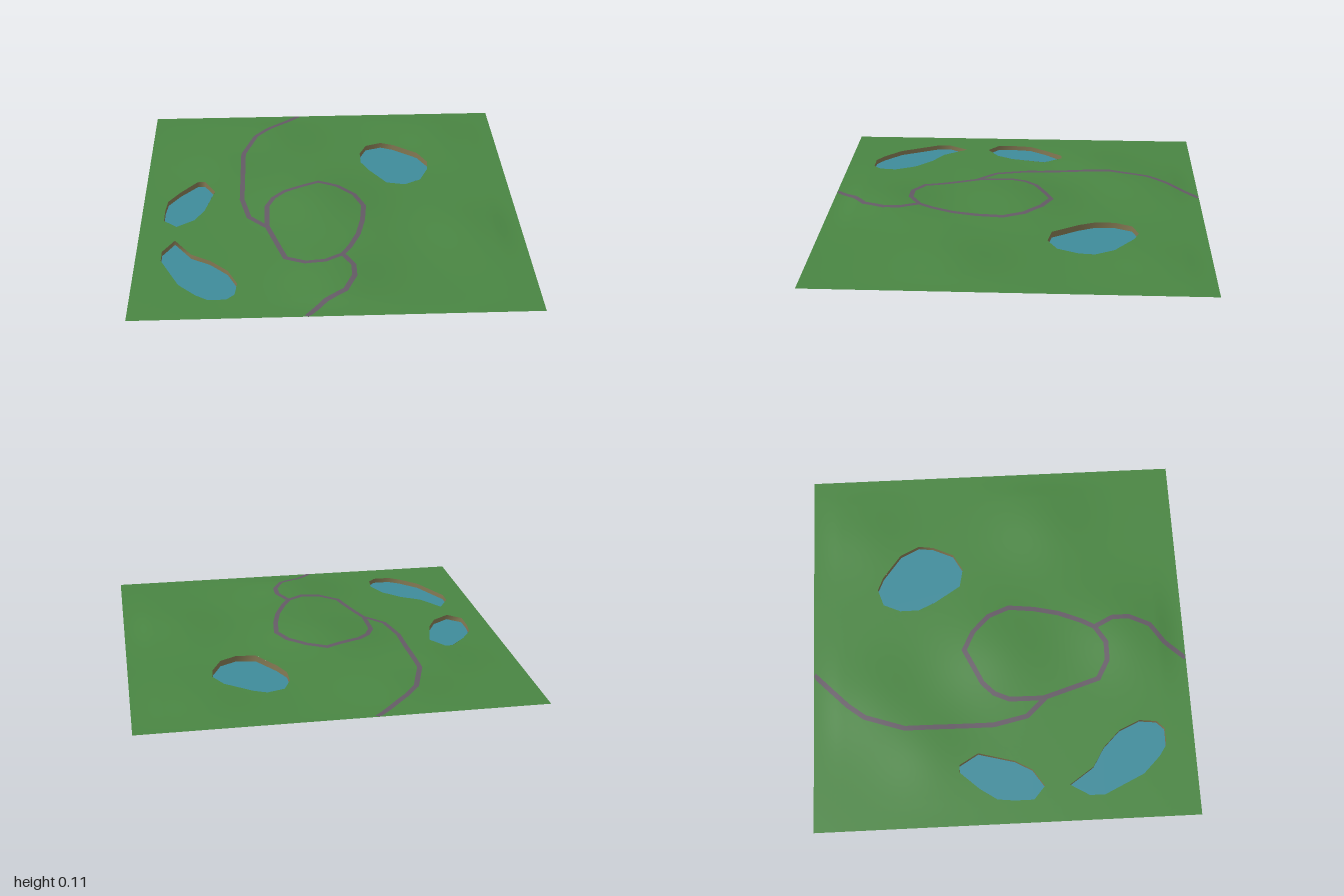
import * as THREE from 'three';

const BASE = 0.073;
const mat = (name, color, side = THREE.DoubleSide) => {
  const m = new THREE.MeshStandardMaterial({ color, side });
  m.name = name;
  return m;
};

// Gentle hills: x, z, height, radius
const HILLS = [
  [-0.05, 0, 0.034, 0.2], [0, 0.7, 0.028, 0.17], [-0.3, -0.68, 0.02, 0.17],
  [-0.58, -0.42, 0.017, 0.15], [0.7, 0.28, 0.021, 0.17], [0.2, 0.42, 0.012, 0.18], [0.65, -0.72, 0.012, 0.15],
];
const fade = (v) => THREE.MathUtils.smoothstep(1 - Math.abs(v), 0, 0.15);
const height = (x, z) => BASE + fade(x) * fade(z) * HILLS.reduce((sum, [hx, hz, h, r]) =>
  sum + h * Math.exp(-((x - hx) ** 2 + (z - hz) ** 2) / (2 * r * r)), 0);
const slopeNormal = (x, z, e = 0.005) => new THREE.Vector3(
  height(x - e, z) - height(x + e, z), 2 * e, height(x, z - e) - height(x, z + e)).normalize();

// Pond outlines in x, z
const PONDS = [
  { bottom: 0, water: 0.043, outline: [[0.2, -0.53], [0.24, -0.62], [0.33, -0.65], [0.4, -0.62], [0.53, -0.52], [0.58, -0.42],
    [0.57, -0.34], [0.52, -0.23], [0.43, -0.18], [0.33, -0.2], [0.24, -0.34], [0.2, -0.43]] },
  { bottom: 0.01, water: 0.047, outline: [[-0.81, -0.14], [-0.72, -0.24], [-0.68, -0.24], [-0.62, -0.14], [-0.67, 0.05],
    [-0.72, 0.14], [-0.81, 0.2], [-0.88, 0.14], [-0.88, 0.04], [-0.87, -0.05]] },
  { bottom: 0.012, water: 0.047, outline: [[-0.87, 0.43], [-0.81, 0.33], [-0.72, 0.46], [-0.62, 0.52], [-0.53, 0.61],
    [-0.48, 0.72], [-0.49, 0.81], [-0.53, 0.85], [-0.62, 0.85], [-0.68, 0.81], [-0.77, 0.72], [-0.87, 0.51]] },
];

// Road centre lines in x, z
const ROADS = [
  { points: [[-0.145, -1], [-0.33, -0.82], [-0.4, -0.73], [-0.47, -0.52], [-0.47, -0.05], [-0.43, 0.13], [-0.335, 0.23]] },
  { closed: true, points: [[-0.05, -0.19], [0.05, -0.14], [0.14, -0.05], [0.185, 0.06], [0.17, 0.2], [0.14, 0.33],
    [0.09, 0.45], [0.05, 0.52], [-0.04, 0.575], [-0.14, 0.575], [-0.24, 0.52], [-0.29, 0.36], [-0.335, 0.22],
    [-0.335, 0.04], [-0.3, -0.04], [-0.24, -0.1]] },
  { points: [[0.05, 0.52], [0.1, 0.62], [0.1, 0.71], [0.05, 0.82], [-0.05, 0.89], [-0.145, 1]] },
];

const vec = ([x, z]) => new THREE.Vector2(x, -z);

function buffer(positions, normals, index) {
  const g = new THREE.BufferGeometry();
  g.setAttribute('position', new THREE.Float32BufferAttribute(positions, 3));
  if (normals) g.setAttribute('normal', new THREE.Float32BufferAttribute(normals, 3));
  if (index) g.setIndex(index);
  return g;
}

// Flat sheet with pond holes, split until fine enough to follow the hills
function groundGeometry() {
  const shape = new THREE.Shape([[-1, 1], [1, 1], [1, -1], [-1, -1]].map(vec));
  shape.holes = PONDS.map((p) => new THREE.Path(p.outline.map(vec)));
  const flat = new THREE.ShapeGeometry(shape).toNonIndexed().getAttribute('position');
  const positions = [], normals = [], stack = [];
  for (let i = 0; i < flat.count; i += 3) {
    stack.push([0, 1, 2].map((k) => new THREE.Vector2(flat.getX(i + k), -flat.getY(i + k))));
  }
  while (stack.length) {
    const t = stack.pop();
    const len = t.map((p, k) => p.distanceTo(t[(k + 1) % 3]));
    const k = len.indexOf(Math.max(...len));
    if (len[k] > 0.05) {
      const a = t[k], b = t[(k + 1) % 3], c = t[(k + 2) % 3];
      const mid = a.clone().add(b).multiplyScalar(0.5);
      stack.push([a, mid, c], [mid, b, c]);
    } else {
      for (const p of t) {
        positions.push(p.x, height(p.x, p.y), p.y);
        normals.push(...slopeNormal(p.x, p.y).toArray());
      }
    }
  }
  return buffer(positions, normals);
}

// Mitred ribbon draped over the ground
function roadGeometry({ points, closed = false }, offset, half = 0.013) {
  const pts = points.map(([x, z]) => new THREE.Vector2(x, z));
  const n = pts.length;
  const at = (i) => (closed ? pts[(i + n) % n] : pts[THREE.MathUtils.clamp(i, 0, n - 1)]);
  const side = (i) => {
    const d1 = at(i).clone().sub(at(i - 1)).normalize();
    const d2 = at(i + 1).clone().sub(at(i)).normalize();
    const d = d1.clone().add(d2).normalize();
    const cos = d.dot(d1.lengthSq() ? d1 : d2);
    return new THREE.Vector2(-d.y, d.x).multiplyScalar(half / cos);
  };
  const positions = [], normals = [], index = [];
  for (let i = 0; i < (closed ? n : n - 1); i++) {
    const steps = Math.ceil(at(i).distanceTo(at(i + 1)) / 0.03);
    for (let s = 0; s <= steps; s++) {
      const mid = at(i).clone().lerp(at(i + 1), s / steps);
      const w = side(i).lerp(side(i + 1), s / steps);
      const v = positions.length / 3;
      for (const sign of [1, -1]) {
        const x = THREE.MathUtils.clamp(mid.x + sign * w.x, -1, 1);
        const z = THREE.MathUtils.clamp(mid.y + sign * w.y, -1, 1);
        positions.push(x, height(x, z) + offset, z);
        normals.push(...slopeNormal(x, z).toArray());
      }
      if (s < steps) index.push(v, v + 2, v + 1, v + 1, v + 2, v + 3);
    }
  }
  return buffer(positions, normals, index);
}

// Upright band around a pond, from the ground down to its bottom edge
function bankGeometry({ outline, bottom }) {
  const positions = [], index = [], n = outline.length;
  outline.forEach(([x, z], i) => {
    positions.push(x, height(x, z), z, x, bottom, z);
    const a = 2 * i, b = 2 * ((i + 1) % n);
    index.push(a, b, a + 1, b, b + 1, a + 1);
  });
  const g = buffer(positions, null, index);
  g.computeVertexNormals();
  return g;
}

export function createModel() {
  const model = new THREE.Group();
  model.name = 'parkland';
  const grass = mat('grass green', 0x4a8643);
  const path = mat('path grey', 0x655b66);
  const earth = mat('bank earth', 0x857a54);
  const blue = mat('water blue', 0x3f8c9b);
  const add = (name, geometry, material) => {
    const mesh = new THREE.Mesh(geometry, material);
    mesh.name = name;
    model.add(mesh);
    return mesh;
  };

  add('ground', groundGeometry(), grass);

  // Roads show on both faces of the ground sheet
  ROADS.forEach((road, i) => {
    add(`road${i + 1}`, roadGeometry(road, 0.0015), path);
    add(`roadUnderside${i + 1}`, roadGeometry(road, -0.0015), path);
  });

  // Ponds: bank and water sheet
  PONDS.forEach((pond, i) => {
    add(`pondBank${i + 1}`, bankGeometry(pond), earth);
    const water = add(`pondWater${i + 1}`, new THREE.ShapeGeometry(new THREE.Shape(pond.outline.map(vec))), blue);
    water.rotation.x = -Math.PI / 2;
    water.position.y = pond.water;
  });
  return model;
}
